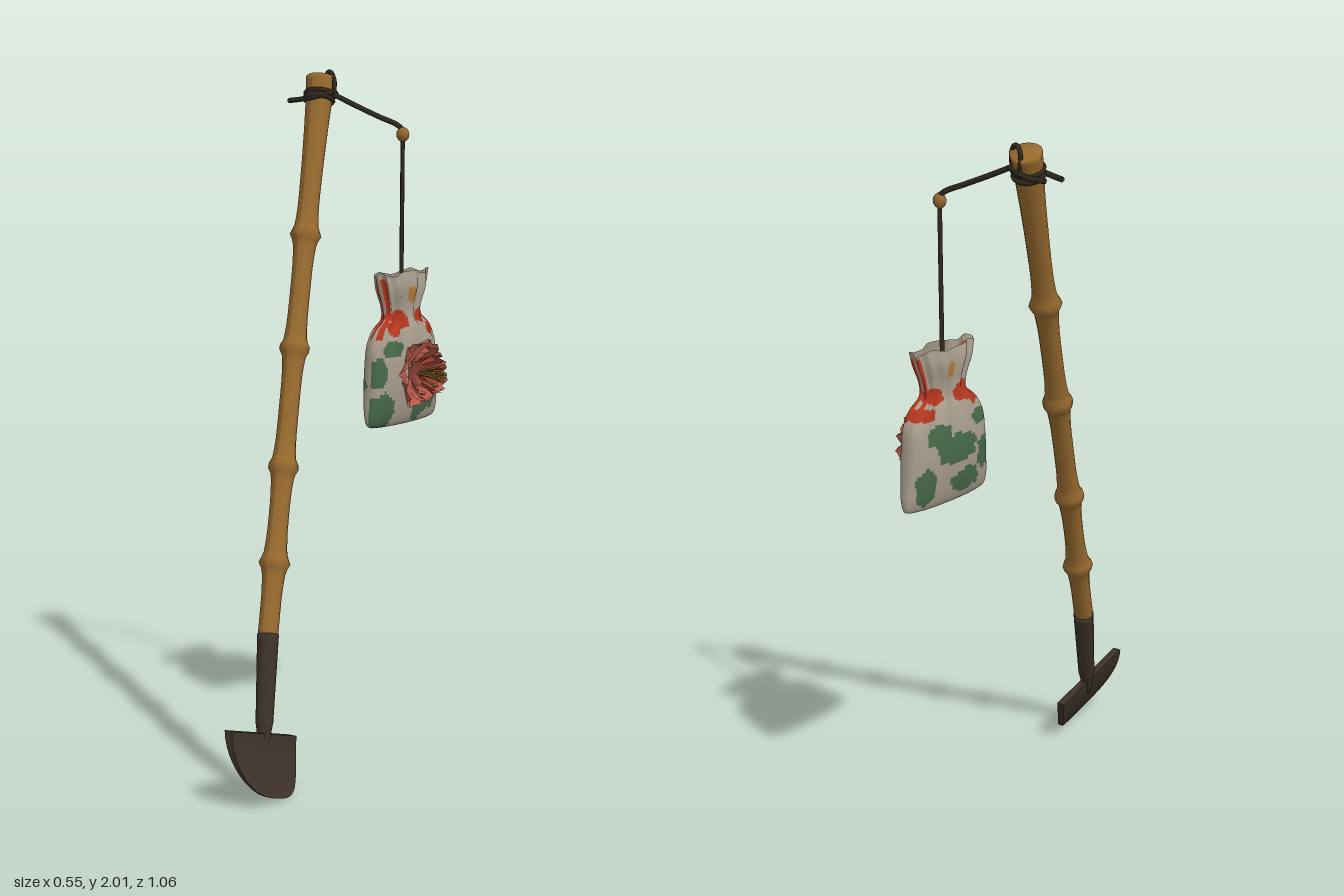
import * as THREE from 'three';

const mat = (name, color) => {
  const m = new THREE.MeshStandardMaterial({ color, side: THREE.DoubleSide });
  m.name = name;
  return m;
};
const V = (x, y, z) => new THREE.Vector3(x, y, z);

export function createModel() {
  const root = new THREE.Group();
  root.name = 'hangingPouchSpade';
  const bamboo = mat('bamboo', 0x96692e);
  const iron = mat('dark iron', 0x3c3128);
  const cord = mat('dark cord', 0x30281f);
  const cream = mat('cream cloth', 0xa89d8c);
  const green = mat('green print', 0x476a48);
  const red = mat('red trim', 0xb5361f);
  const ochre = mat('ochre print', 0xb5803a);
  const coral = mat('coral petal', 0xb4594a);
  const rose = mat('deep petal', 0x9c4232);
  const stamenMat = mat('stamen brown', 0x7d5a2a);

  const add = (name, geo, material, parent = root) => {
    const m = new THREE.Mesh(geo, material);
    m.name = name;
    parent.add(m);
    return m;
  };
  const tube = (name, pts, r, material, parent) =>
    add(name, new THREE.TubeGeometry(new THREE.CatmullRomCurve3(pts.map(p => V(...p))), pts.length * 6, r, 7), material, parent);

  // Lathe a radius rule around the line from a (top) to b (bottom)
  const spindle = (name, a, b, radius, steps, sides, material) => {
    const len = a.distanceTo(b);
    const prof = [new THREE.Vector2(0.0001, 0)];
    for (let i = 0; i <= steps; i++) prof.push(new THREE.Vector2(radius(1 - i / steps), len * i / steps));
    prof.push(new THREE.Vector2(0.0001, len));
    const m = add(name, new THREE.LatheGeometry(prof, sides), material);
    m.position.copy(b);
    m.quaternion.setFromUnitVectors(V(0, 1, 0), a.clone().sub(b).normalize());
    return m;
  };

  // Bamboo pole with swollen joints and a flared top
  const top = V(-0.178, 1.98, -0.325), low = V(0.064, 0.42, 0.277);
  const joints = [0.29, 0.495, 0.705, 0.872];
  const poleRadius = t => {
    let r = 0.029 + 0.016 * Math.exp(-t * 9);
    for (const j of joints) {
      const d = Math.abs(t - j);
      r += 0.011 * Math.exp(-((d / 0.009) ** 2)) + 0.006 * Math.exp(-((d / 0.035) ** 2));
    }
    return r;
  };
  const pole = spindle('bambooPole', top, low, poleRadius, 110, 14, bamboo);
  const poleLen = top.distanceTo(low);
  const bend = V(-0.009, 0, -0.009).applyQuaternion(pole.quaternion.clone().invert());
  const pp = pole.geometry.attributes.position;
  for (let i = 0; i < pp.count; i++) {
    const k = Math.sin(Math.PI * pp.getY(i) / poleLen);
    pp.setXYZ(i, pp.getX(i) + bend.x * k, pp.getY(i), pp.getZ(i) + bend.z * k);
  }
  pole.geometry.computeVertexNormals();

  // Iron socket
  spindle('spadeSocket', V(0.063, 0.43, 0.274), V(0.122, 0.12, 0.378),
    t => 0.031 - 0.008 * t - 0.012 * Math.max(0, t - 0.75) * 4, 16, 14, iron);

  // Spade blade: a slab mapped to a half-round outline that curves forward
  const blade = new THREE.BoxGeometry(2, 1, 1, 28, 10, 1);
  const bp = blade.attributes.position;
  for (let i = 0; i < bp.count; i++) {
    const s = Math.sin(bp.getX(i) * Math.PI / 2);
    const depth = 0.168 * Math.sqrt(Math.max(0, 1 - Math.abs(s) ** 3)) * (0.5 - bp.getY(i));
    const t = depth / 0.168, across = s * 0.157;
    const x = 0.113 + 0.03 * t + 0.055 * t * t + bp.getZ(i) * (0.026 - 0.016 * t);
    bp.setXYZ(i, x, 0.173 + across * 0.272 - depth * 0.962, 0.375 + across * 0.962 + depth * 0.272);
  }
  // mirrored mapping, so reverse the corners
  const bi = blade.index.array;
  const e1 = V(0, 0.272, 0.962), e2 = V(0, 0.962, -0.272);
  if (e1.clone().cross(e2).x < 0) for (let i = 0; i < bi.length; i += 3) [bi[i], bi[i + 1]] = [bi[i + 1], bi[i]];
  blade.computeVertexNormals();
  add('spadeBlade', blade, iron);

  // Cord lashing at the pole top
  const lash = new THREE.Group();
  lash.name = 'lashing';
  root.add(lash);
  const axis = top.clone().sub(low).normalize();
  for (const y of [1.915, 1.932]) {
    const ring = add('lashRing', new THREE.TorusGeometry(0.042, 0.007, 6, 24), cord, lash);
    ring.position.copy(low).lerp(top, (y - low.y) / (top.y - low.y));
    ring.quaternion.setFromUnitVectors(V(0, 0, 1), axis);
  }
  tube('frontTail', [[-0.12, 1.94, -0.305], [-0.16, 1.925, -0.262], [-0.21, 1.918, -0.275], [-0.272, 1.912, -0.292]], 0.008, cord, lash);
  tube('backTail', [[-0.13, 1.935, -0.335], [-0.175, 1.925, -0.352], [-0.22, 1.92, -0.366], [-0.268, 1.918, -0.36]], 0.008, cord, lash);
  tube('topLoop', [[-0.123, 1.92, -0.312], [-0.13, 1.975, -0.325], [-0.155, 1.998, -0.34], [-0.185, 1.985, -0.36], [-0.175, 1.93, -0.35]], 0.007, cord, lash);

  // Arm, bead and hanging string
  tube('arm', [[-0.135, 1.938, -0.308], [-0.06, 1.905, -0.317], [0.03, 1.868, -0.328], [0.085, 1.845, -0.342], [0.112, 1.822, -0.348]], 0.008, cord);
  const bead = add('bead', new THREE.SphereGeometry(0.02, 12, 8), bamboo);
  bead.position.set(0.102, 1.818, -0.345);
  bead.scale.set(1, 1.1, 0.85);
  tube('string', [[0.102, 1.82, -0.345], [0.1, 1.62, -0.347], [0.1, 1.3, -0.345]], 0.0065, cord);

  // Cloth pouch: lofted sections as (half depth z, height, half thickness x)
  const section = new THREE.CatmullRomCurve3([
    [0.155, 0.957, 0.003], [0.172, 0.965, 0.025], [0.177, 0.99, 0.038], [0.171, 1.06, 0.052], [0.165, 1.13, 0.056],
    [0.157, 1.2, 0.05], [0.13, 1.245, 0.04], [0.088, 1.28, 0.028], [0.09, 1.315, 0.028], [0.112, 1.37, 0.036], [0.128, 1.412, 0.03],
  ].map(p => V(...p)));
  const N = 112, ROWS = 72, CX = 0.1, CZ = -0.345;
  const verts = [], lists = [[], [], [], []];
  for (let j = 0; j <= ROWS; j++) {
    const p = section.getPoint(j / ROWS);
    const fold = THREE.MathUtils.smoothstep(p.y, 1.16, 1.29);
    for (let i = 0; i < N; i++) {
      const a = i / N * Math.PI * 2, c = Math.cos(a), s = Math.sin(a);
      const pleat = 1 + 0.17 * fold * Math.cos(a * 11 + 0.6);
      verts.push(CX + p.z * Math.sign(s) * Math.abs(s) ** 0.8 * pleat,
        p.y + 0.006 * fold * Math.sin(a * 5) + (p.y < 1 ? 0.006 * c * c : 0),
        CZ + p.x * Math.sign(c) * Math.abs(c) ** 0.8 * (1 + 0.03 * fold * Math.cos(a * 11)));
    }
  }
  // Printed patches as (z, y, half z, half y) on each side
  const greenRight = [[-0.43, 1.08, 0.055, 0.085], [-0.39, 1.02, 0.06, 0.035], [-0.2, 1.01, 0.045, 0.05], [-0.24, 1.19, 0.04, 0.025],
    [-0.19, 1.12, 0.022, 0.045], [-0.36, 0.985, 0.03, 0.02], [-0.47, 1.13, 0.025, 0.05]];
  const greenLeft = [[-0.35, 1.12, 0.085, 0.045], [-0.42, 1.17, 0.05, 0.035], [-0.31, 1.02, 0.065, 0.035], [-0.22, 1.08, 0.04, 0.05],
    [-0.47, 1.03, 0.035, 0.05], [-0.24, 1.19, 0.04, 0.025]];
  const redSpots = [[-0.295, 1.275, 0.04, 0.028], [-0.255, 1.25, 0.022, 0.02], [-0.41, 1.28, 0.03, 0.024], [-0.455, 1.235, 0.035, 0.018]];
  const ochreSpots = [[-0.35, 1.345, 0.022, 0.026]];
  const inside = (spots, z, y) => spots.some(([cz, cy, rz, ry]) =>
    ((z - cz) / rz) ** 2 + ((y - cy) / ry) ** 2 < 1 + 0.25 * Math.sin(z * 130) * Math.cos(y * 110));
  const pick = (x, y, z, s) => {
    if (y > 1.22 && y < 1.395 && Math.abs(s) > 0.1 && Math.abs(s) < 0.42) return 2;
    if (inside(redSpots, z, y)) return 2;
    if (inside(ochreSpots, z, y)) return 3;
    return inside(x > CX ? greenRight : greenLeft, z, y) ? 1 : 0;
  };
  for (let j = 0; j < ROWS; j++) for (let i = 0; i < N; i++) {
    const n = (i + 1) % N, a = j * N + i, b = j * N + n, c = b + N, d = a + N;
    const k = pick(verts[a * 3], verts[a * 3 + 1], verts[a * 3 + 2], Math.sin((i + 0.5) / N * Math.PI * 2));
    lists[k].push(a, b, c, a, c, d);
  }
  const bag = new THREE.BufferGeometry();
  bag.setAttribute('position', new THREE.Float32BufferAttribute(verts, 3));
  bag.setIndex(lists.flat());
  let start = 0;
  lists.forEach((l, k) => { bag.addGroup(start, l.length, k); start += l.length; });
  bag.computeVertexNormals();
  add('pouch', bag, [cream, green, red, ochre]);

  // Flower on the pouch, opening towards +x
  const flower = new THREE.Group();
  flower.name = 'flower';
  flower.position.set(0.148, 1.12, -0.328);
  flower.rotation.z = -Math.PI / 2;
  root.add(flower);
  const petal = (len, width, lift, phase) => {
    const g = new THREE.PlaneGeometry(2, 1, 8, 8), p = g.attributes.position;
    for (let i = 0; i < p.count; i++) {
      const u = p.getX(i), v = p.getY(i) + 0.5;
      const w = width * Math.sin(Math.PI * (0.1 + 0.74 * v)) * u;
      const r = 0.006 + len * v * (1 - 0.14 * u * u * v + 0.05 * v * Math.cos(u * 9 + phase));
      p.setXYZ(i, w, lift * v ** 1.3 + 0.016 * u * u * v + 0.006 * v * Math.sin(u * 6 + phase), r);
    }
    g.computeVertexNormals();
    return g;
  };
  const rings = [[6, 0.098, 0.052, 0.03, coral], [6, 0.078, 0.044, 0.06, coral], [5, 0.05, 0.032, 0.078, rose]];
  rings.forEach(([count, len, width, lift, material], k) => {
    for (let i = 0; i < count; i++) {
      const m = add('petal', petal(len * (1 + 0.07 * Math.sin(i * 2.3 + k)), width, lift * (1 + 0.2 * Math.sin(i * 3.7 + k)), i * 1.7 + k), material, flower);
      m.rotation.y = (i + k * 0.45) / count * Math.PI * 2;
    }
  });
  // Stamens
  for (let i = 0; i < 9; i++) {
    const a = i * 2.4, r = 0.007 + 0.0035 * i, h = 0.118 - 0.0035 * i;
    const x = Math.cos(a) * r, z = Math.sin(a) * r;
    tube('stamen', [[x * 0.2, 0.01, z * 0.2], [x * 0.6, h * 0.6, z * 0.6], [x, h, z]], 0.0035, stamenMat, flower);
    add('stamenTip', new THREE.SphereGeometry(0.006, 6, 5), stamenMat, flower).position.set(x, h, z);
  }
  return root;
}
